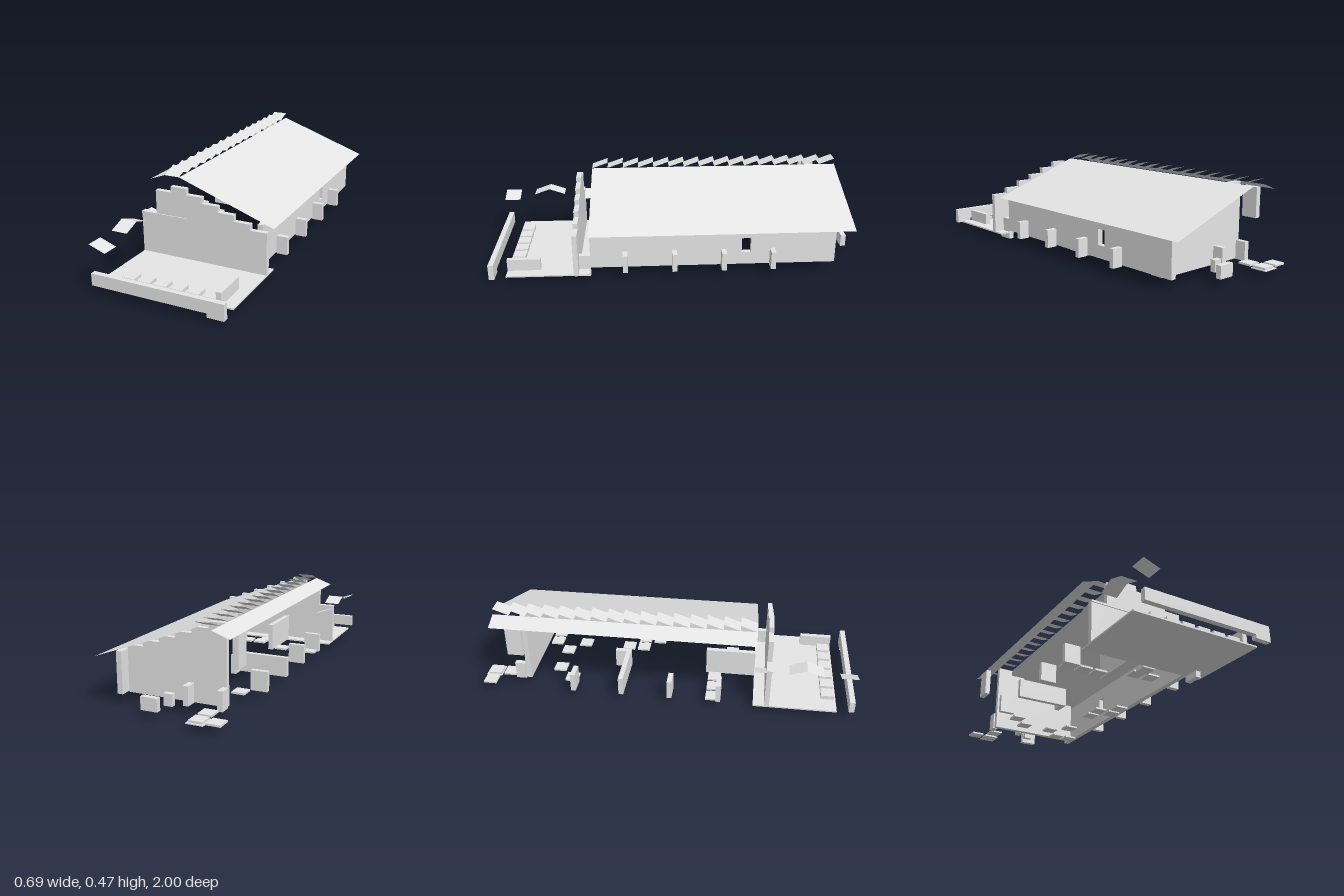
import * as THREE from 'three';

const U = 0.0868; // building grid step

export function createModel() {
  const model = new THREE.Group();
  const plaster = new THREE.MeshStandardMaterial({ color: 0xe6e6e6, side: THREE.DoubleSide });
  plaster.name = 'plaster grey';

  const add = (name, geometry) => {
    const mesh = new THREE.Mesh(geometry, plaster);
    mesh.name = name;
    model.add(mesh);
    return mesh;
  };
  // Box given by its limits on each axis
  const box = (name, x0, x1, y0, y1, z0, z1) => {
    const g = new THREE.BoxGeometry(x1 - x0, y1 - y0, z1 - z0);
    g.translate((x0 + x1) / 2, (y0 + y1) / 2, (z0 + z1) / 2);
    return add(name, g);
  };
  // Thin sheet from four corners, counter-clockwise seen from above
  const sheet = (name, a, b, c, d) => {
    const g = new THREE.BufferGeometry();
    g.setAttribute('position', new THREE.Float32BufferAttribute([...a, ...b, ...c, ...d], 3));
    g.setIndex([0, 1, 2, 0, 2, 3]);
    g.computeVertexNormals();
    return add(name, g);
  };
  // Sheet sloping along x
  const slopeX = (name, x0, y0, x1, y1, zBack, zFront) =>
    sheet(name, [x0, y0, zFront], [x1, y1, zFront], [x1, y1, zBack], [x0, y0, zBack]);
  // Sheet sloping along z
  const slopeZ = (name, x0, x1, zFront, yFront, zBack, yBack) =>
    sheet(name, [x0, yFront, zFront], [x1, yFront, zFront], [x1, yBack, zBack], [x0, yBack, zBack]);
  // Wall with a stepped top, extruded in z
  const steppedWall = (name, bottom, edges, tops, z0, z1) => {
    const s = new THREE.Shape();
    s.moveTo(edges[0], bottom);
    tops.forEach((top, i) => {
      s.lineTo(edges[i], top);
      s.lineTo(edges[i + 1], top);
    });
    s.lineTo(edges[edges.length - 1], bottom);
    s.closePath();
    const g = new THREE.ExtrudeGeometry(s, { depth: z1 - z0, bevelEnabled: false });
    g.translate(0, 0, z0);
    return add(name, g);
  };

  // Roof and the row of ridge louvres
  slopeX('mainRoof', -0.175, 0.439, 0.347, 0.252, -0.912, 0.477);
  slopeX('narrowRoof', -0.347, 0.407, -0.26, 0.439, -0.912, 0.477);
  for (let i = 0; i < 16; i++) {
    const z = 0.477 - i * U;
    slopeZ('ridgeLouvre', -0.26, -0.175, z, 0.439, z - U, 0.47);
  }

  // Small canopies over the left side of the yard
  slopeX('yardCanopy', -0.347, 0.252, -0.26, 0.221, 0.912, 1);
  slopeX('entranceCanopy', -0.347, 0.252, -0.26, 0.221, 0.477, 0.536);
  slopeZ('tentCanopyFront', -0.347, -0.26, 0.825, 0.252, 0.738, 0.283);
  slopeZ('tentCanopyBack', -0.347, -0.26, 0.738, 0.283, 0.651, 0.252);

  // Front and back stepped gables
  const edges = [-4, -3, -2, -1, 0, 1, 2, 3, 4].map((k) => k * U);
  steppedWall('frontGable', 0.043, edges,
    [0.252, 0.387, 0.418, 0.387, 0.355, 0.324, 0.292, 0.262], 0.536, 0.562);
  box('frontLedge', -0.347, -U, 0.252, 0.263, 0.536, 0.567);
  steppedWall('backGable', 0.045, edges.slice(1, 8),
    [0.438, 0.406, 0.375, 0.344, 0.313, 0.282], -0.768, -0.74);
  box('backPost', -0.347, -0.318, 0.25, 0.407, -0.825, -0.74);

  // Right wall with its window opening
  const wallX = [0.26, 0.289];
  box('rightWall', ...wallX, 0.05, 0.262, -0.323, 0.477);
  box('rightWall', ...wallX, 0.05, 0.262, -0.825, -0.372);
  box('windowSill', ...wallX, 0.05, 0.118, -0.372, -0.323);
  box('windowHead', ...wallX, 0.2, 0.262, -0.372, -0.323);
  box('cornerFooting', ...wallX, 0, 0.043, 0.477, 0.562);
  box('cornerWall', ...wallX, 0.043, 0.12, 0.477, 0.536);

  // Front yard: paving, boundary wall, bench and seats
  box('yardFloor', -0.347, 0.347, 0.034, 0.042, 0.477, 0.912);
  box('boundaryWall', -0.347, 0.26, 0.043, 0.105, 0.972, 1);
  box('boundaryWallEnd', 0.26, 0.347, 0.023, 0.105, 0.972, 1);
  box('bench', 0.26, 0.287, 0.042, 0.105, 0.738, 0.912);
  for (let i = 0; i < 6; i++) {
    const x = (i - 2.5) * U;
    box('seat', x - 0.034, x + 0.034, 0.042, 0.063, 0.834, 0.902);
  }

  // Buttresses on the right, matching partitions on the left
  for (const z of [0.293, 0.034, -0.226, -0.486]) {
    box('buttress', 0.289, 0.347, 0.043, 0.14, z - 0.013, z + 0.013);
    const inner = z === -0.226 ? -U : -0.26;
    box('partition', -0.347, inner, 0.043, 0.145, z - 0.013, z + 0.013);
  }
  box('innerPanel', -U, -0.06, 0.043, 0.19, 0.21, 0.477);
  box('innerPanel', -U, -0.06, 0.043, 0.145, -0.3, -0.213);

  // Buttresses and low panels behind the back wall
  for (const x of [-0.08, -0.254]) {
    box('backButtress', x - 0.014, x + 0.014, 0.043, 0.14, -0.825, -0.768);
  }
  box('backPanel', 0, U, 0.04, 0.105, -0.942, -0.914);
  box('backPanel', -0.025, 0.02, 0.04, 0.1, -0.852, -0.825);

  // Scattered floor tiles, as [x cell, z cell, underside height]
  const low = 0.032;
  const raised = 0.043;
  const tiles = [[0, 5, low], [0, 4, raised], [1, 4, raised], [-4, 3, raised], [-3, 3, raised],
    [-2, 3, raised], [2, -1, low], [1, -2, low], [2, -2, low], [1, -3, low], [-3, -6, low],
    [1, -6, low], [-2, -7, low], [0, -7, low], [1, -8, low], [2, -8, low],
    [-3, -10, raised], [-4, -11, raised], [-3, -11, raised]];
  for (const [i, k, y] of tiles) {
    const x = (i + 0.5) * U;
    const z = k * U;
    box('floorTile', x - 0.035, x + 0.035, y, y + 0.01, z - 0.035, z + 0.035);
  }
  // Wider base under the rearmost tile
  box('tileBase', -0.26, -0.175, 0.038, 0.043, -1, -0.914);
  return model;
}
